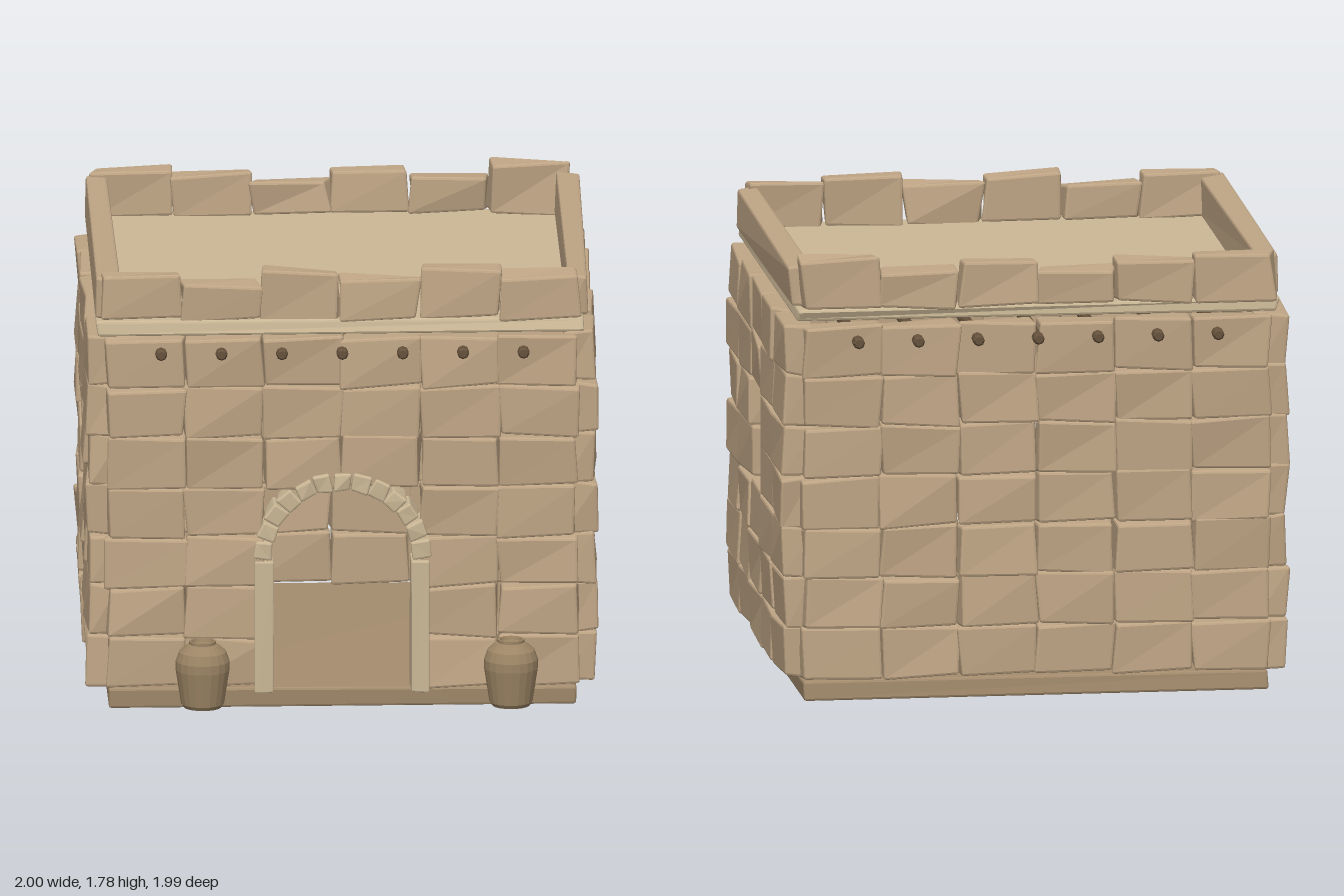
import * as THREE from 'three';
import { RoundedBoxGeometry } from 'three/addons/geometries/RoundedBoxGeometry.js';

// Small seeded random in -1..1
let seed = 7;
function rnd() {
  seed = (seed * 16807) % 2147483647;
  return (seed / 2147483647) * 2 - 1;
}

const paint = (color) => new THREE.MeshStandardMaterial({ color, flatShading: true });

// Chamfered stone whose eight corners are each nudged, given by its bounds
function stone(name, mat, x0, x1, y0, y1, z0, z1, wobble = 0.012, bevel = 0.01) {
  const geo = new RoundedBoxGeometry(x1 - x0, y1 - y0, z1 - z0, 1, bevel);
  const nudges = Array.from({ length: 8 }, () => [rnd() * wobble, rnd() * wobble, rnd() * wobble]);
  const p = geo.attributes.position;
  for (let i = 0; i < p.count; i++) {
    const x = p.getX(i), y = p.getY(i), z = p.getZ(i);
    const n = nudges[(x > 0 ? 1 : 0) + (y > 0 ? 2 : 0) + (z > 0 ? 4 : 0)];
    p.setXYZ(i, x + n[0], y + n[1], z + n[2]);
  }
  geo.computeVertexNormals();
  const mesh = new THREE.Mesh(geo, mat);
  mesh.name = name;
  mesh.position.set((x0 + x1) / 2, (y0 + y1) / 2, (z0 + z1) / 2);
  return mesh;
}

function group(name, parent) {
  const g = new THREE.Group();
  g.name = name;
  parent.add(g);
  return g;
}

export function createModel() {
  seed = 7;
  const house = new THREE.Group();
  house.name = 'stoneHouse';
  const wallMat = paint(0xbfa585);
  const baseMat = paint(0xa58d6e);
  const trimMat = paint(0xcbb896);
  const beamMat = paint(0x66523c);
  const potMat = paint(0x9c8565);

  // Base and roof slab
  house.add(stone('base', baseMat, -0.91, 0.91, 0.005, 0.085, -0.88, 0.765, 0.006));
  house.add(stone('roofSlab', trimMat, -0.95, 0.94, 1.515, 1.575, -0.93, 0.825, 0.01));

  // Walls: seven courses of stones
  const rows = 7, rowH = 0.2, y0 = 0.1;
  const front = group('frontWall', house), back = group('backWall', house);
  const left = group('leftWall', house), right = group('rightWall', house);
  for (let r = 0; r < rows; r++) {
    const a = y0 + r * rowH + 0.001, b = a + rowH - 0.002;
    for (let c = 0; c < 6; c++) {
      const x = -0.915 + c * 0.305;
      const doorway = r < 4 && (c === 2 || c === 3);
      if (!doorway) front.add(stone('wallStone', wallMat, x, x + 0.304, a, b, 0.70, 0.83));
      back.add(stone('wallStone', wallMat, x, x + 0.304, a, b, -0.94, -0.81));
    }
    for (let c = 0; c < 5; c++) {
      if (c === 2 && (r === 3 || r === 4)) continue; // window opening
      const z = -0.88 + c * 0.33;
      left.add(stone('wallStone', wallMat, 0.865, 0.99, a, b, z, z + 0.329));
      right.add(stone('wallStone', wallMat, -0.99, -0.865, a, b, z, z + 0.329));
    }
  }

  // Parapet: long side stones, uneven blocks in front and behind
  const parapet = group('parapet', house);
  parapet.add(stone('sideParapet', wallMat, 0.87, 0.96, 1.57, 1.73, -0.86, 0.755, 0.008));
  parapet.add(stone('sideParapet', wallMat, -0.96, -0.865, 1.57, 1.73, -0.85, 0.78, 0.008));
  const frontTops = [1.755, 1.705, 1.755, 1.73, 1.76, 1.74];
  const backTops = [1.75, 1.735, 1.70, 1.74, 1.71, 1.765];
  for (let c = 0; c < 6; c++) {
    const x = -0.93 + c * 0.31;
    const f = rnd() * 0.008, k = rnd() * 0.012;
    parapet.add(stone('frontParapet', wallMat, x, x + 0.3, 1.57, frontTops[c], 0.715 + f, 0.815 + f, 0.014));
    parapet.add(stone('backParapet', wallMat, x, x + 0.3, 1.57, backTops[c], -0.94 + k, -0.835 + k, 0.014));
  }

  // Roof beams poking out in front and behind
  const beams = group('roofBeams', house);
  for (let i = -3; i <= 3; i++) {
    const profile = [[0, -0.935], [0.016, -0.935], [0.023, -0.925], [0.023, 0.925], [0.016, 0.935], [0, 0.935]];
    const beam = new THREE.Mesh(
      new THREE.LatheGeometry(profile.map(([r, y]) => new THREE.Vector2(r, y)), 8), beamMat);
    beam.name = 'roofBeam';
    beam.rotation.x = Math.PI / 2;
    beam.position.set(i * 0.235, 1.443, -0.063);
    beams.add(beam);
  }

  // Door frame: two jambs and an arch of thirteen stones
  const door = group('doorFrame', house);
  for (const s of [-1, 1]) {
    door.add(stone('doorJamb', trimMat, s * 0.303 - 0.036, s * 0.303 + 0.036, 0.08, 0.605, 0.71, 0.85, 0.003, 0.006));
  }
  for (let i = -6; i <= 6; i++) {
    const angle = i * Math.PI / 13;
    const block = stone('archStone', trimMat, -0.034, 0.034, -0.034, 0.034, 0.71, 0.853, 0.005, 0.008);
    block.position.x = Math.sin(angle) * 0.31;
    block.position.y = 0.615 + Math.cos(angle) * 0.31;
    block.rotation.z = -angle;
    door.add(block);
  }

  // Clay pots beside the door
  const potProfile = [[0, 0.04], [0.074, 0.04], [0.084, 0.055], [0.105, 0.19], [0.105, 0.225],
    [0.092, 0.262], [0.062, 0.288], [0.052, 0.292], [0.052, 0.303], [0.044, 0.303], [0.04, 0.29], [0, 0.285]];
  for (const x of [-0.545, 0.655]) {
    const pot = new THREE.Mesh(
      new THREE.LatheGeometry(potProfile.map(([r, y]) => new THREE.Vector2(r, y)), 20), potMat);
    pot.name = 'clayPot';
    pot.position.set(x, 0, 0.89);
    house.add(pot);
  }
  return house;
}
